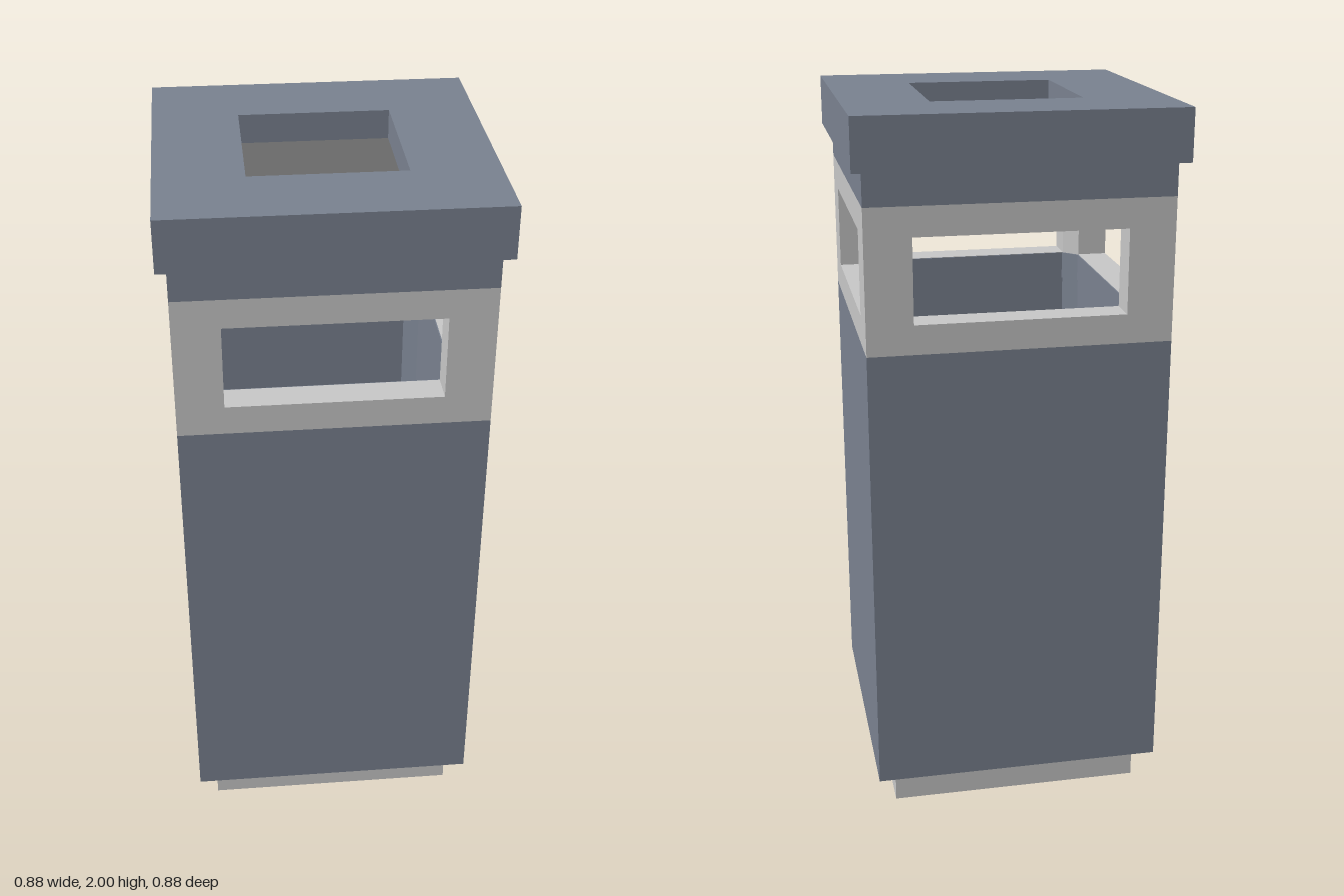
import * as THREE from 'three';

const OUT = 0.41;     // half width of the body
const IN = 0.325;     // half width of the cavity
const WIN = 0.285;    // half width of the windows
const HOLE = 0.205;   // half width of the lid opening

const square = (h) => [[h, h], [-h, h], [-h, -h], [h, -h]];

// Square with cut corners, counterclockwise
const cutSquare = (s, w) => [[s, w], [w, s], [-w, s], [-s, w], [-s, -w], [-w, -s], [w, -s], [s, -w]];

const toVectors = (pts) => pts.map(([x, y]) => new THREE.Vector2(x, y));

export function createModel() {
  const group = new THREE.Group();
  const slate = new THREE.MeshStandardMaterial({ name: 'slate', color: 0x7a8290 });
  const grey = new THREE.MeshStandardMaterial({ name: 'light grey', color: 0xc8c8c8 });

  const add = (name, geometry, material) => {
    const mesh = new THREE.Mesh(geometry, material);
    mesh.name = name;
    group.add(mesh);
    return mesh;
  };

  // Upright prism from y0 to y1, with an optional hole
  const prism = (name, material, outline, hole, y0, y1) => {
    const shape = new THREE.Shape(toVectors(outline));
    if (hole) shape.holes.push(new THREE.Path(toVectors(hole)));
    const geometry = new THREE.ExtrudeGeometry(shape, { depth: y1 - y0, bevelEnabled: false });
    geometry.rotateX(-Math.PI / 2).translate(0, y0, 0);
    return add(name, geometry, material);
  };

  const cavity = cutSquare(IN, WIN);

  // Plinth, whose top is the floor of the bin
  const plinth = add('plinth', new THREE.BoxGeometry(0.716, 0.1, 0.716), grey);
  plinth.position.y = 0.05;

  // Hollow body and the inner lining behind the window sills
  prism('body', slate, square(OUT), cavity, 0.1, 1.38);
  prism('lining', slate, cavity, cutSquare(IN - 0.003, WIN - 0.003), 1.38, 1.459);

  // Window band: sill, four corner posts, head
  prism('windowSill', grey, square(OUT), cavity, 1.38, 1.46);
  const post = [[WIN, IN], [IN, WIN], [OUT, WIN], [OUT, OUT], [WIN, OUT]];
  for (let i = 0; i < 4; i++) {
    prism('cornerPost', grey, post, null, 1.46, 1.69).rotation.y = i * Math.PI / 2;
  }
  prism('windowHead', grey, square(OUT), cavity, 1.69, 1.77);

  // Collar and lid
  prism('collar', slate, square(OUT), cavity, 1.77, 1.86);
  prism('lidRim', slate, square(0.4375), cavity, 1.86, 1.92);
  prism('lidTop', slate, square(0.4375), square(HOLE), 1.92, 2);

  // Inner hood, sloping from the lid opening out to the window heads
  const top = cutSquare(HOLE, HOLE);
  const positions = [];
  for (let i = 0; i < 8; i++) {
    const j = (i + 1) % 8;
    const low = (k) => [cavity[k][0], 1.69, -cavity[k][1]];
    const high = (k) => [top[k][0], 1.92, -top[k][1]];
    positions.push(...low(i), ...high(j), ...low(j));
    if (i % 2 === 1) positions.push(...low(i), ...high(i), ...high(j));
  }
  const hood = new THREE.BufferGeometry();
  hood.setAttribute('position', new THREE.Float32BufferAttribute(positions, 3));
  hood.computeVertexNormals();
  add('innerHood', hood, grey);

  return group;
}
